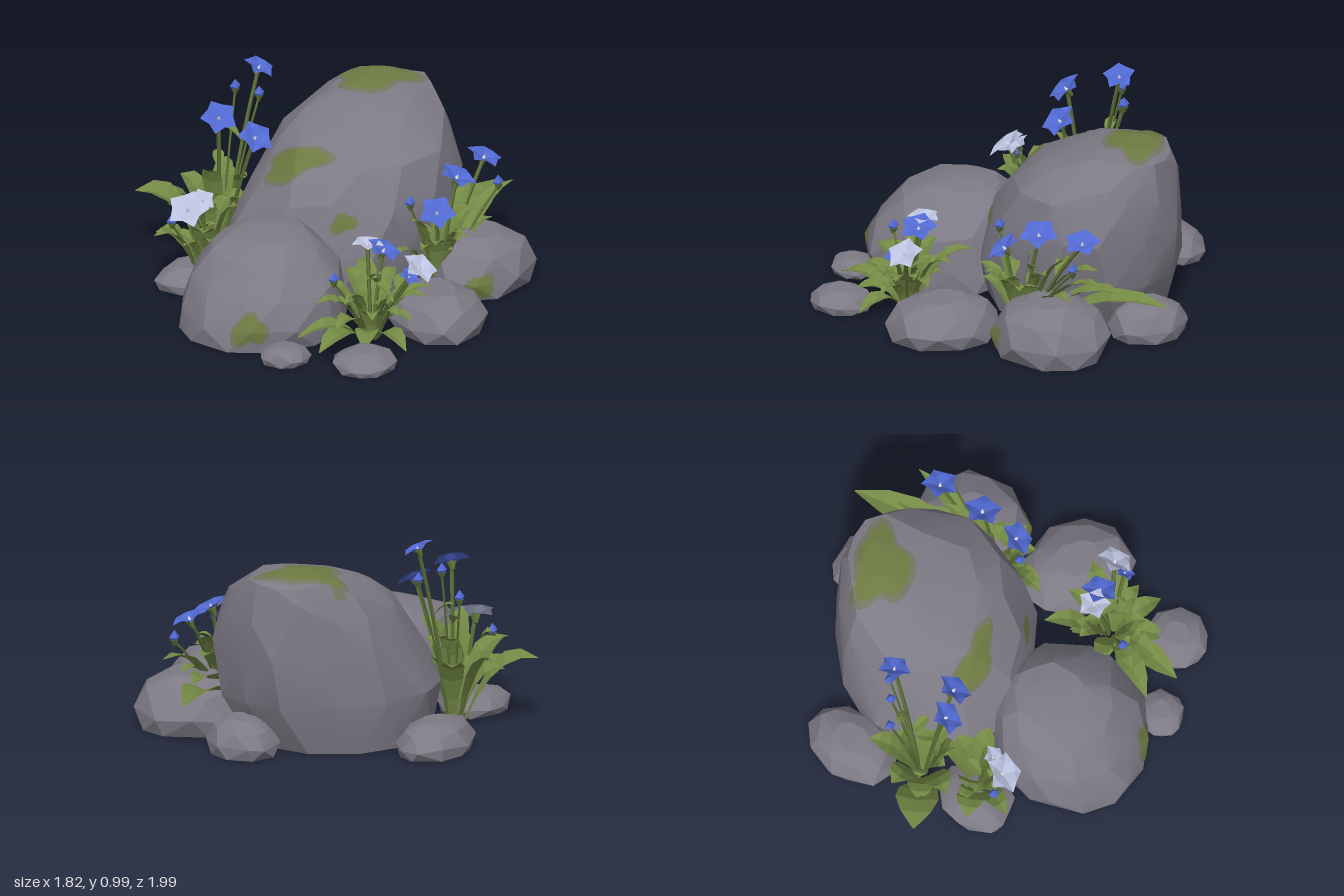
import * as THREE from 'three';
import { toCreasedNormals } from 'three/addons/utils/BufferGeometryUtils.js';
import { ConvexGeometry } from 'three/addons/geometries/ConvexGeometry.js';

const V = (x, y, z) => new THREE.Vector3(x, y, z);
const mat = (name, color, thin) => {
  const m = new THREE.MeshStandardMaterial({ color, flatShading: !!thin, side: thin ? THREE.DoubleSide : THREE.FrontSide });
  m.name = name;
  return m;
};

function seeded(seed) {
  let s = seed * 7919 + 13;
  return () => (s = (s * 16807) % 2147483647) / 2147483647;
}

// Triangle surface from points and indices
function surface(points, index) {
  const g = new THREE.BufferGeometry().setFromPoints(points);
  g.setIndex(index);
  g.computeVertexNormals();
  return g;
}

export function createModel() {
  const root = new THREE.Group();
  root.name = 'rockGarden';
  const M = {
    rock: mat('stone grey', 0x7d7a85),
    moss: mat('moss green', 0x6d7b42, true),
    mossEdge: mat('faded moss', 0x737662, true),
    leaf: mat('leaf green', 0x748a45, true),
    stem: mat('stem green', 0x5b6f36, true),
    blue: mat('petal blue', 0x5169d2, true),
    pale: mat('petal pale', 0xbcc3e0, true),
    heart: mat('flower heart', 0xe4e4ee, true),
  };
  const add = (parent, name, geo, material) => {
    const mesh = new THREE.Mesh(geo, material);
    mesh.name = name;
    parent.add(mesh);
    return mesh;
  };

  // Rocks: hull around irregular rings [y, cx, cz, rx, rz, yaw]
  function rock(name, rings, seed, n = 11) {
    const rnd = seeded(seed), pts = [];
    rings.forEach(([y, cx, cz, rx, rz, yaw = 0], k) => {
      const inner = k > 0 && k < rings.length - 1;
      for (let i = 0; i < n; i++) {
        const a = ((i + (k % 2) * 0.5 + (rnd() - 0.5) * 0.5) / n) * Math.PI * 2;
        const r = 0.96 + rnd() * 0.08, p = Math.cos(a) * rx * r, q = Math.sin(a) * rz * r;
        const dy = inner ? (rnd() - 0.5) * 0.05 * Math.min(1, rx * 2) : 0;
        pts.push(V(cx + p * Math.cos(yaw) - q * Math.sin(yaw), y + dy, cz + p * Math.sin(yaw) + q * Math.cos(yaw)));
      }
    });
    return add(root, name, toCreasedNormals(new ConvexGeometry(pts), 0.3), M.rock);
  }
  const bigRock = rock('bigBoulder', [
    [0.02, 0.04, -0.28, 0.46, 0.44], [0.25, 0.06, -0.28, 0.55, 0.49], [0.5, 0.14, -0.29, 0.52, 0.46, 0.2],
    [0.68, 0.21, -0.32, 0.42, 0.4, 0.2], [0.79, 0.26, -0.36, 0.33, 0.32], [0.86, 0.31, -0.43, 0.24, 0.21],
    [0.892, 0.33, -0.48, 0.09, 0.08]], 3, 13);
  const leftRock = rock('leftBoulder', [
    [0.02, -0.5, 0.2, 0.41, 0.37], [0.13, -0.5, 0.2, 0.415, 0.38], [0.28, -0.48, 0.18, 0.37, 0.35],
    [0.4, -0.47, 0.15, 0.27, 0.27], [0.46, -0.44, 0.12, 0.17, 0.17], [0.48, -0.42, 0.1, 0.06, 0.06]], 8);
  const smallRock = (name, x, z, rx, rz, h, seed, yaw) => rock(name, [
    [0.02, x, z, rx * 0.92, rz * 0.92, yaw], [0.02 + h * 0.3, x, z, rx, rz, yaw],
    [h * 0.78, x, z, rx * 0.8, rz * 0.8, yaw], [h, x, z, rx * 0.4, rz * 0.4, yaw]], seed, 9);
  const rightRock = smallRock('rightRock', 0.62, 0.08, 0.29, 0.285, 0.28, 5);
  smallRock('frontRock', 0.27, 0.5, 0.235, 0.29, 0.21, 6);
  smallRock('frontPebble', -0.21, 0.84, 0.16, 0.155, 0.11, 7);
  smallRock('leftPebble', -0.55, 0.65, 0.125, 0.11, 0.1, 9);
  smallRock('backRock', -0.24, -0.81, 0.25, 0.17, 0.17, 10, -0.6);
  smallRock('backRightRock', 0.6, -0.42, 0.17, 0.2, 0.19, 11);
  smallRock('backLeftRock', -0.68, -0.33, 0.2, 0.16, 0.12, 12, -0.5);

  // Moss: wobbly discs projected onto a rock along a direction
  function moss(target, at, from, ru, rv, roll, seed) {
    const dir = from.clone().normalize();
    const u = V(0, 1, 0).cross(dir).normalize(), w = dir.clone().cross(u);
    const ray = new THREE.Raycaster();
    target.updateMatrixWorld();
    [[M.mossEdge, 1.14, 0.003], [M.moss, 0.95, 0.006]].forEach(([material, scale, lift]) => {
      const R = 9, N = 32, pts = [], index = [], hit = [];
      for (let j = 0; j <= R; j++) for (let i = 0; i < N; i++) {
        const a = (i / N) * Math.PI * 2;
        const wob = 1 + 0.17 * Math.sin(3 * a + seed) + 0.1 * Math.sin(5 * a + seed * 2);
        const r = (j / R) * wob * scale, p = Math.cos(a) * ru * r, q = Math.sin(a) * rv * r;
        const o = at.clone().addScaledVector(u, p * Math.cos(roll) - q * Math.sin(roll))
          .addScaledVector(w, p * Math.sin(roll) + q * Math.cos(roll)).addScaledVector(dir, 2);
        ray.set(o, dir.clone().negate());
        const h = ray.intersectObject(target)[0];
        hit.push(!!h);
        pts.push(h ? h.point.addScaledVector(h.face.normal, lift) : o);
      }
      for (let j = 0; j < R; j++) for (let i = 0; i < N; i++) {
        const a = j * N + i, b = j * N + (i + 1) % N, c = a + N, d = b + N;
        for (const t of [[a, c, d], [a, d, b]]) if (t.every(k => hit[k])) index.push(...t);
      }
      add(root, 'mossPatch', surface(pts, index), material);
    });
  }
  moss(bigRock, V(0.3, 0.88, -0.48), V(0, 1, 0.08), 0.18, 0.13, -0.35, 1);
  moss(bigRock, V(-0.17, 0.57, -0.22), V(-0.5, 0.8, 0.55), 0.16, 0.075, 0.4, 2);
  moss(bigRock, V(-0.07, 0.42, 0.1), V(-0.1, 0.5, 1), 0.06, 0.04, 0.2, 3);
  moss(leftRock, V(-0.68, 0.13, 0.5), V(-0.4, 0.3, 1), 0.085, 0.065, 0.4, 4);
  moss(rightRock, V(0.55, 0.1, 0.34), V(-0.1, 0.35, 1), 0.065, 0.05, 0, 5);

  // Leaf: folded strip along an arching curve
  function leaf(parent, base, tip, width, arch = 0.12) {
    const mid = base.clone().lerp(tip, 0.4);
    mid.y = base.y + (tip.y - base.y) * 0.75 + arch;
    const curve = new THREE.QuadraticBezierCurve3(base, mid, tip);
    const side = V(tip.z - base.z, 0, base.x - tip.x).normalize();
    const widths = [0.25, 0.5, 0.92, 1.05, 0.75, 0.04], pts = [], index = [];
    widths.forEach((w, k) => {
      const c = curve.getPoint(k / (widths.length - 1)), half = w * width / 2;
      const lift = V(0, half * 0.35, 0);
      pts.push(c.clone().addScaledVector(side, -half).add(lift), c, c.clone().addScaledVector(side, half).add(lift));
      if (k) for (const s of [0, 1]) {
        const a = (k - 1) * 3 + s;
        index.push(a, a + 4, a + 1, a, a + 3, a + 4);
      }
    });
    add(parent, 'leaf', surface(pts, index), M.leaf);
  }

  function stem(parent, base, top, r) {
    const mid = base.clone().lerp(top, 0.5);
    mid.x = base.x + (top.x - base.x) * 0.3;
    mid.z = base.z + (top.z - base.z) * 0.3;
    add(parent, 'stem', new THREE.TubeGeometry(new THREE.QuadraticBezierCurve3(base, mid, top), 6, r, 5), M.stem);
  }

  // Flower: five broad, pointed, cupped petals over a green calyx
  function flower(parent, at, normal, r, material) {
    const g = new THREE.Group();
    g.name = 'flower';
    for (let i = 0; i < 5; i++) {
      const petal = surface([V(0, 0, 0), V(r * 0.62, r * 0.32, r * 0.46), V(r * 0.62, r * 0.2, 0),
        V(r * 0.62, r * 0.32, -r * 0.46), V(r * 1.1, r * 0.2, 0)], [0, 1, 2, 0, 2, 3, 1, 4, 2, 2, 4, 3]);
      add(g, 'petal', petal, material).rotation.y = (i / 5) * Math.PI * 2 + at.x * 9;
    }
    add(g, 'heart', new THREE.ConeGeometry(r * 0.12, r * 0.3, 5), M.heart).position.y = r * 0.16;
    add(g, 'calyx', new THREE.CylinderGeometry(r * 0.28, r * 0.1, r * 0.5, 5), M.stem).position.y = -r * 0.22;
    g.position.copy(at);
    g.quaternion.setFromUnitVectors(V(0, 1, 0), normal.normalize());
    parent.add(g);
  }

  // Clump: leaves [x,y,z,width], flowers [x,y,z,radius,colour], buds [x,y,z], filler leaves of a spread and height
  function clump(name, base, leaves, flowers, buds, [count, spread, height]) {
    const g = new THREE.Group(), rnd = seeded(count + spread * 100);
    g.name = name;
    const foot = p => base.clone().add(V((p.x - base.x) * 0.12, 0, (p.z - base.z) * 0.12));
    leaves.forEach(([x, y, z, w]) => leaf(g, foot(V(x, y, z)), V(x, y, z), w));
    for (let i = 0; i < count; i++) {
      const a = i * 2.4 + rnd(), d = spread * (0.5 + rnd() * 0.5);
      const tip = V(base.x + Math.cos(a) * d, height * (0.6 + rnd() * 0.5), base.z + Math.sin(a) * d);
      leaf(g, foot(tip), tip, 0.08);
    }
    flowers.forEach(([x, y, z, r, c]) => {
      const p = V(x, y, z), out = V(x - base.x, 0, z - base.z).normalize();
      stem(g, foot(p), p, 0.01);
      flower(g, p, V(out.x * 0.4, 1, out.z * 0.4 + 0.4), r, M[c]);
      // Small leaves along the stem
      [0.4, 0.62].forEach((t, i) => {
        const s = foot(p).lerp(p, t), a = x * 20 + i * 2.6;
        s.x -= (x - base.x) * 0.1;
        s.z -= (z - base.z) * 0.1;
        leaf(g, s, s.clone().add(V(Math.cos(a) * 0.1, 0.07, Math.sin(a) * 0.1)), 0.055, 0.01);
      });
    });
    buds.forEach(([x, y, z]) => {
      const p = V(x, y, z);
      stem(g, foot(p), p, 0.006);
      add(g, 'budCup', new THREE.CylinderGeometry(0.022, 0.008, 0.03, 5), M.stem).position.set(x, y - 0.005, z);
      const bud = add(g, 'bud', new THREE.OctahedronGeometry(0.028), M.blue);
      bud.position.set(x, y + 0.022, z);
      bud.scale.y = 1.3;
    });
    root.add(g);
  }
  clump('tallClump', V(-0.47, 0.03, -0.53),
    [[-0.84, 0.36, -0.7, 0.2], [-0.6, 0.4, -0.73, 0.13], [-0.35, 0.4, -0.76, 0.11], [-0.74, 0.42, -0.5, 0.13],
      [-0.58, 0.56, -0.4, 0.1], [-0.4, 0.5, -0.64, 0.1], [-0.7, 0.3, -0.62, 0.13]],
    [[-0.25, 0.96, -0.6, 0.075, 'blue'], [-0.51, 0.81, -0.43, 0.085, 'blue'], [-0.36, 0.72, -0.34, 0.085, 'blue']],
    [[-0.35, 0.84, -0.65], [-0.24, 0.8, -0.62], [-0.43, 0.7, -0.68]], [6, 0.17, 0.42]);
  clump('broadClump', V(-0.62, 0.03, -0.31),
    [[-0.9, 0.33, -0.25, 0.1], [-0.83, 0.26, -0.43, 0.13], [-0.69, 0.36, -0.14, 0.1], [-0.5, 0.45, -0.2, 0.1],
      [-0.48, 0.42, -0.36, 0.12], [-0.74, 0.42, -0.4, 0.12], [-0.62, 0.46, -0.23, 0.08]],
    [[-0.74, 0.45, -0.22, 0.095, 'pale'], [-0.66, 0.48, -0.24, 0.06, 'pale']], [[-0.8, 0.36, -0.28]], [6, 0.2, 0.36]);
  clump('frontClump', V(-0.08, 0.02, 0.55),
    [[-0.47, 0.1, 0.6, 0.12], [-0.42, 0.09, 0.77, 0.12], [-0.2, 0.08, 0.79, 0.11], [0, 0.06, 0.83, 0.1],
      [-0.01, 0.3, 0.24, 0.09], [0.15, 0.27, 0.7, 0.08], [0.22, 0.25, 0.56, 0.09], [-0.29, 0.28, 0.42, 0.09],
      [-0.36, 0.25, 0.56, 0.09], [-0.24, 0.3, 0.65, 0.08], [0.1, 0.3, 0.4, 0.08], [-0.15, 0.32, 0.37, 0.08],
      [0.06, 0.17, 0.74, 0.08], [-0.31, 0.17, 0.7, 0.1]],
    [[-0.07, 0.47, 0.47, 0.075, 'pale'], [-0.01, 0.45, 0.52, 0.085, 'blue'], [0.13, 0.39, 0.64, 0.085, 'pale'],
      [0.07, 0.37, 0.67, 0.05, 'blue']],
    [[-0.27, 0.34, 0.55]], [8, 0.22, 0.22]);
  clump('rightClump', V(0.4, 0.04, 0.15),
    [[0.91, 0.28, -0.41, 0.16], [0.78, 0.32, -0.24, 0.12], [0.87, 0.42, -0.1, 0.08], [0.68, 0.42, -0.14, 0.1],
      [0.13, 0.3, 0.27, 0.07], [0.24, 0.44, 0.22, 0.07], [0.33, 0.34, 0.31, 0.08], [0.6, 0.4, 0.1, 0.08],
      [0.52, 0.42, -0.05, 0.09], [0.48, 0.36, 0.26, 0.08], [0.2, 0.25, 0.29, 0.07], [0.64, 0.48, -0.04, 0.08],
      [0.42, 0.45, 0.1, 0.07], [0.72, 0.3, 0.02, 0.09]],
    [[0.37, 0.46, 0.22, 0.085, 'blue'], [0.51, 0.57, 0.1, 0.09, 'blue'], [0.7, 0.58, -0.05, 0.085, 'blue']],
    [[0.24, 0.51, 0.2], [0.75, 0.46, 0.02]], [5, 0.18, 0.36]);
  return root;
}
